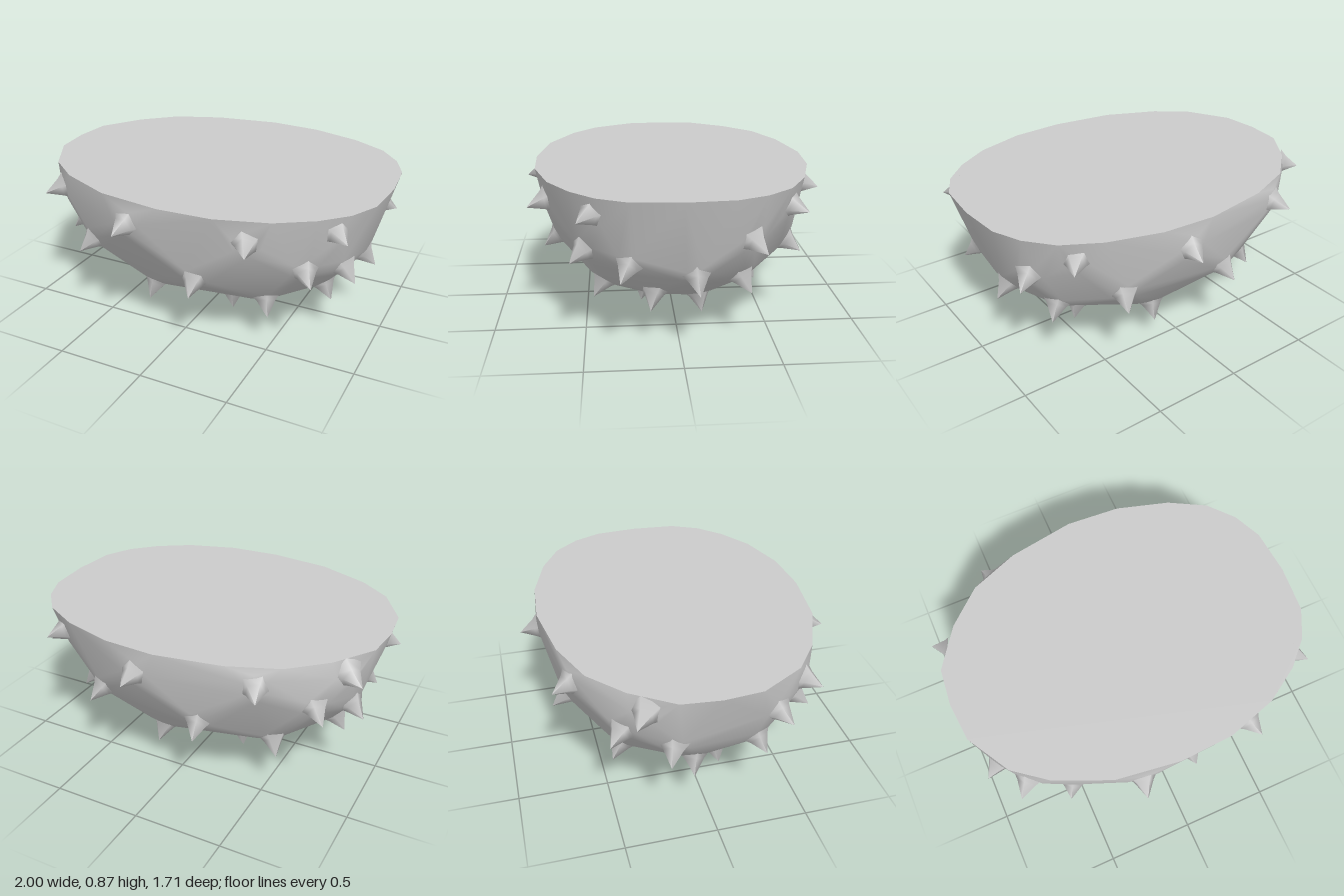
import * as THREE from 'three';
import { mergeVertices } from 'three/addons/utils/BufferGeometryUtils.js';
import { ConvexGeometry } from 'three/addons/geometries/ConvexGeometry.js';

const RIM = 0.86, RX = 1, RY = 0.77, RZ = 0.77, POWER = 2.14;
const UP = new THREE.Vector3(0, 1, 0);

// Outline of the cut face [x, z]
const OUTLINE = [
  [0, 0.77], [0.3, 0.755], [0.58, 0.67], [0.77, 0.55], [0.9, 0.42], [0.98, 0.26], [1, 0],
  [0.98, -0.25], [0.91, -0.41], [0.79, -0.55], [0.59, -0.66], [0.3, -0.745], [0, -0.765],
  [-0.37, -0.705], [-0.64, -0.6], [-0.83, -0.43], [-0.98, -0.21], [-1, 0],
  [-0.98, 0.21], [-0.84, 0.45], [-0.66, 0.59], [-0.36, 0.72],
];

// Spike roots [x, y, z], roughly on the shell
const SPIKES = [
  // upper ring
  [-0.21, 0.72, 0.76], [0.46, 0.725, 0.70], [-0.80, 0.74, 0.53], [0.89, 0.76, 0.47],
  [-0.93, 0.645, 0.35], [0.13, 0.71, -0.76], [0.73, 0.745, -0.59], [0.91, 0.60, -0.38],
  [-0.52, 0.75, -0.66], [-0.91, 0.77, -0.36],
  // middle ring
  [-0.53, 0.50, 0.54], [0.14, 0.43, 0.65], [0.74, 0.515, 0.52], [-0.82, 0.44, 0.26],
  [0.88, 0.47, 0.28], [0.88, 0.40, -0.08], [0.69, 0.36, -0.33], [0.44, 0.47, -0.61],
  [-0.19, 0.45, -0.65], [-0.76, 0.59, -0.45], [-0.93, 0.50, -0.22], [-0.52, 0.32, -0.41],
  // lower ring and underside
  [-0.22, 0.23, 0.42], [0.46, 0.25, 0.41], [0.72, 0.26, 0.14], [0.14, 0.23, -0.43],
  [0.44, 0.16, -0.13], [-0.76, 0.33, -0.07], [-0.54, 0.22, 0.11],
  [0.14, 0.11, 0.16], [-0.21, 0.12, -0.14],
];

// Moves a point radially from the centre of the cut face onto the rounded shell
function ontoShell(v) {
  const n = new THREE.Vector3(v.x / RX, (v.y - RIM) / RY, v.z / RZ);
  const len = (Math.abs(n.x) ** POWER + Math.abs(n.y) ** POWER + Math.abs(n.z) ** POWER) ** (1 / POWER);
  n.divideScalar(len);
  return new THREE.Vector3(n.x * RX, RIM + n.y * RY, n.z * RZ);
}

// Position and outward turn of a spike
function seat([x, y, z]) {
  const position = ontoShell(new THREE.Vector3(x, y, z));
  const normal = new THREE.Vector3(
    position.x / RX ** 2, (position.y - RIM) / RY ** 2 - 0.1, position.z / RZ ** 2).normalize();
  return { position, quaternion: new THREE.Quaternion().setFromUnitVectors(UP, normal) };
}

// Smooth skin stretched between the rim and the feet of the spikes, open at the top
function shellGeometry(seats) {
  const points = OUTLINE.map(([x, z]) => new THREE.Vector3(x, RIM, z));
  for (const { position, quaternion } of seats) {
    for (let i = 0; i < 6; i++) {
      const a = i * Math.PI / 3;
      const foot = new THREE.Vector3(Math.cos(a), 0, Math.sin(a)).multiplyScalar(0.08);
      foot.applyQuaternion(quaternion).add(position);
      if (foot.y < RIM - 0.03) points.push(ontoShell(foot));
    }
  }
  const hull = new ConvexGeometry(points).attributes.position;
  const kept = [];
  for (let i = 0; i < hull.count; i += 3) {
    const lowest = Math.min(hull.getY(i), hull.getY(i + 1), hull.getY(i + 2));
    if (lowest < RIM - 1e-4) kept.push(...hull.array.slice(i * 3, i * 3 + 9));
  }
  const open = new THREE.BufferGeometry();
  open.setAttribute('position', new THREE.Float32BufferAttribute(kept, 3));
  const skin = mergeVertices(open, 1e-4);
  skin.computeVertexNormals();
  return skin;
}

export function createModel() {
  const model = new THREE.Group();
  const material = new THREE.MeshStandardMaterial({ color: 0xcccccc });
  const add = (name, geometry) => {
    const mesh = new THREE.Mesh(geometry, material);
    mesh.name = name;
    model.add(mesh);
    return mesh;
  };
  const seats = SPIKES.map(seat);

  // Rounded lower half and its flat cut face
  add('halfShell', shellGeometry(seats));
  const face = new THREE.Shape(OUTLINE.map(([x, z]) => new THREE.Vector2(x, -z)));
  add('flatTop', new THREE.ShapeGeometry(face).rotateX(-Math.PI / 2).translate(0, RIM, 0));

  // Short smooth spikes with a slightly flared foot sunk into the shell
  const profile = [[0.095, -0.03], [0.055, 0.017], [0, 0.11]].map(p => new THREE.Vector2(...p));
  const spikeGeometry = new THREE.LatheGeometry(profile, 5);
  for (const { position, quaternion } of seats) {
    const spike = add('spike', spikeGeometry);
    spike.position.copy(position);
    spike.quaternion.copy(quaternion);
  }
  return model;
}
